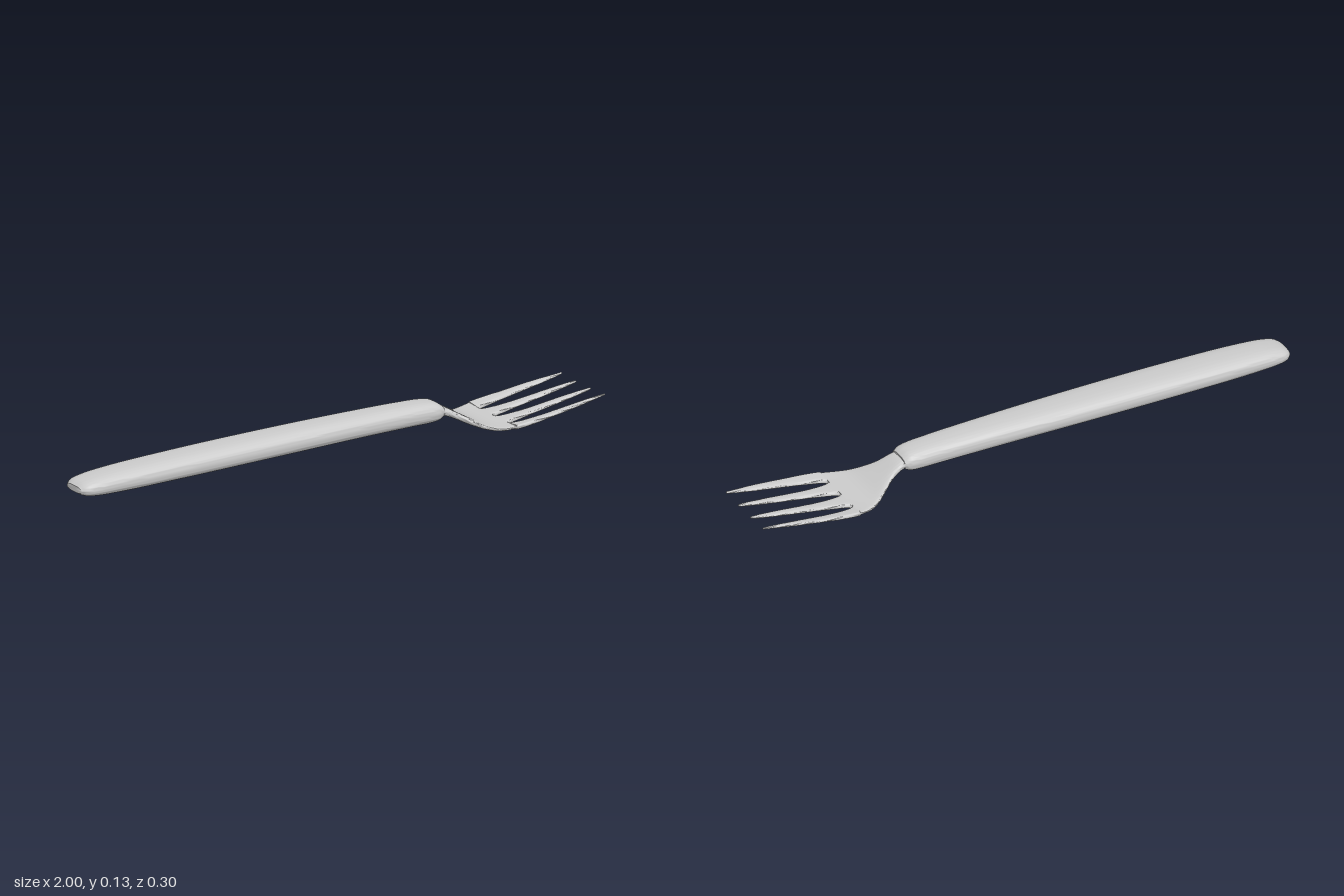
import * as THREE from 'three';
import { toCreasedNormals } from 'three/addons/utils/BufferGeometryUtils.js';

const material = new THREE.MeshStandardMaterial({ color: 0xcccccc });
const RING = 64;

// Smooth function of x through rows of [x, value, value, ...]
function smooth(rows) {
  const size = rows[0].length - 1;
  const curve = new THREE.CubicInterpolant(
    rows.map((r) => r[0]), rows.flatMap((r) => r.slice(1)), size, new Float32Array(size));
  return (x) => Array.from(curve.evaluate(x));
}

// Positions from a to b, packed more densely towards both ends
function stations(a, b, count) {
  return Array.from({ length: count + 1 }, (_, i) =>
    a + (b - a) * (1 - Math.cos((Math.PI * i) / count)) / 2);
}

// Closed skin over superellipse sections { x, y, z, w, h, n }; bowl lifts the far sides
function loft(name, sections, bowl = 0) {
  const points = [];
  const index = [];
  const power = (v, n) => Math.sign(v) * Math.abs(v) ** (2 / n);
  for (const s of sections) {
    for (let j = 0; j < RING; j++) {
      const a = (j / RING) * Math.PI * 2;
      const z = s.z + s.w * power(Math.cos(a), s.n);
      points.push(s.x, s.y + s.h * power(Math.sin(a), s.n) + bowl * z ** 4, z);
    }
  }
  const last = sections.length - 1;
  for (const s of [sections[0], sections[last]]) points.push(s.x, s.y + bowl * s.z ** 4, s.z);
  const centre = sections.length * RING;
  for (let j = 0; j < RING; j++) {
    const k = (j + 1) % RING;
    for (let i = 0; i < last; i++) {
      const a = i * RING + j, b = i * RING + k;
      index.push(a, a + RING, b, b, a + RING, b + RING);
    }
    index.push(centre, j, k, centre + 1, last * RING + k, last * RING + j);
  }
  const geometry = new THREE.BufferGeometry();
  geometry.setAttribute('position', new THREE.Float32BufferAttribute(points, 3));
  geometry.setIndex(index);
  const mesh = new THREE.Mesh(toCreasedNormals(geometry, 0.9), material);
  mesh.name = name;
  return mesh;
}

// Handle rows: x, bottom, top, half width
const handleAt = smooth([
  [-1, 0.078, 0.1, 0.042], [-0.985, 0.069, 0.11, 0.056], [-0.95, 0.062, 0.119, 0.064],
  [-0.88, 0.058, 0.126, 0.069], [-0.6, 0.056, 0.133, 0.075], [-0.2, 0.056, 0.134, 0.073],
  [0.1, 0.055, 0.131, 0.066], [0.3, 0.052, 0.126, 0.06], [0.38, 0.051, 0.121, 0.057],
  [0.41, 0.054, 0.115, 0.053], [0.428, 0.064, 0.103, 0.044],
]);

// Head rows: x, middle height, half thickness, half width
const headAt = smooth([
  [0.4, 0.086, 0.016, 0.042], [0.44, 0.078, 0.015, 0.044], [0.48, 0.058, 0.013, 0.056],
  [0.52, 0.036, 0.012, 0.082], [0.56, 0.018, 0.01, 0.11], [0.6, 0.01, 0.009, 0.131],
  [0.65, 0.011, 0.008, 0.143], [0.7, 0.015, 0.008, 0.147], [0.8, 0.027, 0.007, 0.146],
  [0.9, 0.04, 0.006, 0.14], [1, 0.053, 0.003, 0.129],
]);

// Half width of the slots between the tines
const ROOT = 0.645;
const slotAt = smooth([
  [ROOT, 0], [0.649, 0.006], [0.657, 0.01], [0.67, 0.0135], [0.7, 0.018],
  [0.8, 0.023], [0.9, 0.028], [0.97, 0.033], [0.99, 0.036], [1, 0.039],
]);
const SLOT_Z = 0.085;
const BOWL = 16;

export function createModel() {
  const fork = new THREE.Group();
  fork.name = 'fork';

  fork.add(loft('handle', stations(-1, 0.428, 48).map((x) => {
    const [bottom, top, w] = handleAt(x);
    return { x, y: (bottom + top) / 2, z: 0, w, h: (top - bottom) / 2, n: 2.7 };
  })));

  // Neck widening into the palm
  fork.add(loft('neckAndPalm', stations(0.4, ROOT, 28).map((x) => {
    const [y, h, w] = headAt(x);
    return { x, y, z: 0, w, h, n: 3.5 };
  }), BOWL));

  // Two tines on each side, square at the root and rounder towards the tip
  for (const side of [1, -1]) {
    for (const outer of [true, false]) {
      const name = (side > 0 ? 'left' : 'right') + (outer ? 'Outer' : 'Inner') + 'Tine';
      fork.add(loft(name, stations(ROOT, 1, 36).map((x) => {
        const [y, h, width] = headAt(x);
        const [gap] = slotAt(x);
        const near = outer ? SLOT_Z + gap : gap;
        const far = outer ? width : SLOT_Z - gap;
        const n = 2.3 + 3.5 * Math.max(0, 1 - (x - ROOT) / 0.12);
        return { x, y, z: side * (near + far) / 2, w: (far - near) / 2, h, n };
      }), BOWL));
    }
  }
  return fork;
}
